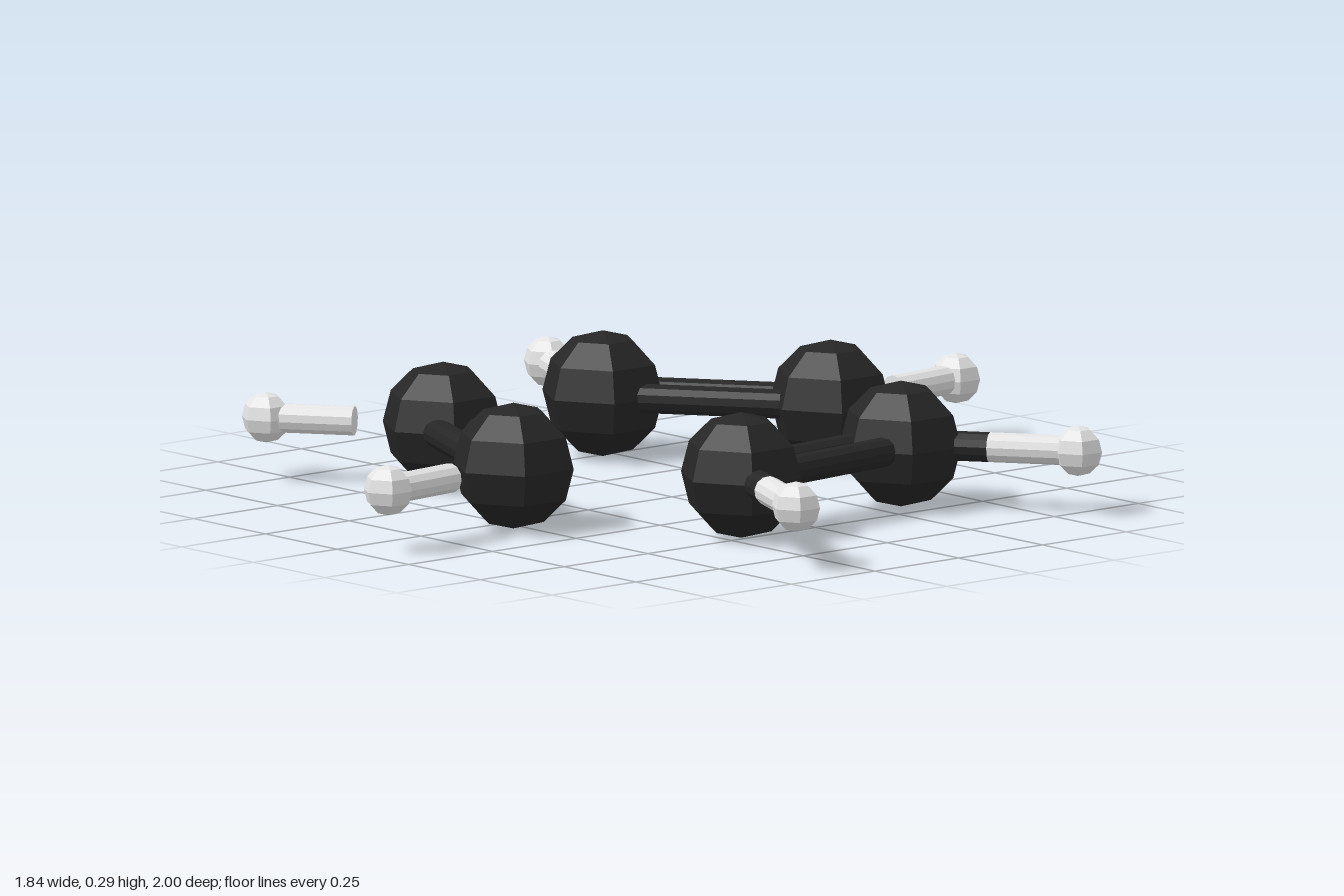
import * as THREE from 'three';

const Y = 0.152; // height of the ring plane
const BOND_R = 0.034;

export function createModel() {
  const model = new THREE.Group();
  model.name = 'ringMolecule';
  const charcoal = new THREE.MeshStandardMaterial({ color: 0x262626, flatShading: true });
  charcoal.name = 'charcoal';
  const paleGrey = new THREE.MeshStandardMaterial({ color: 0xe4e4e4, flatShading: true });
  paleGrey.name = 'paleGrey';

  const point = (x, z) => new THREE.Vector3(x, Y, z);

  // Six-sided ball with a corner pointing along z
  function addBall(name, position, radius, material) {
    const geometry = new THREE.SphereGeometry(radius, 6, 6).rotateY(Math.PI / 2);
    const ball = new THREE.Mesh(geometry, material);
    ball.name = name;
    ball.position.copy(position);
    model.add(ball);
  }

  // Straight rod between two points
  function addRod(name, a, b, material) {
    const rod = new THREE.Mesh(new THREE.CylinderGeometry(BOND_R, BOND_R, a.distanceTo(b), 12), material);
    rod.name = name;
    rod.position.copy(a).lerp(b, 0.5);
    rod.quaternion.setFromUnitVectors(new THREE.Vector3(0, 1, 0), b.clone().sub(a).normalize());
    model.add(rod);
  }

  // Ring atoms with their outer atoms; innerHalf marks a complete outer bond
  const atoms = [
    { c: point(-0.064, -0.528), h: point(-0.11, -0.942), innerHalf: false },
    { c: point(-0.488, -0.211), h: point(-0.868, -0.373), innerHalf: true },
    { c: point(-0.427, 0.318), h: point(-0.757, 0.564), innerHalf: false },
    { c: point(0.064, 0.528), h: point(0.11, 0.942), innerHalf: false },
    { c: point(0.488, 0.211), h: point(0.868, 0.373), innerHalf: true },
    { c: point(0.427, -0.318), h: point(0.757, -0.564), innerHalf: true },
  ];
  atoms.forEach(({ c, h, innerHalf }, i) => {
    const middle = c.clone().lerp(h, 0.5);
    addBall(`ringAtom${i + 1}`, c, 0.145, charcoal);
    addBall(`outerAtom${i + 1}`, h, 0.058, paleGrey);
    addRod(`outerBond${i + 1}`, middle, h, paleGrey);
    if (innerHalf) addRod(`innerBond${i + 1}`, c, middle, charcoal);
  });

  // Paired rods joining every other side of the ring
  for (let i = 0; i < 6; i += 2) {
    const a = atoms[i].c, b = atoms[i + 1].c;
    const along = b.clone().sub(a).normalize();
    for (const side of [-1, 1]) {
      const offset = new THREE.Vector3(-along.z, 0, along.x).multiplyScalar(side * 0.044);
      addRod(`doubleBond${i / 2 + 1}`, a.clone().add(offset), b.clone().add(offset), charcoal);
    }
  }
  return model;
}
